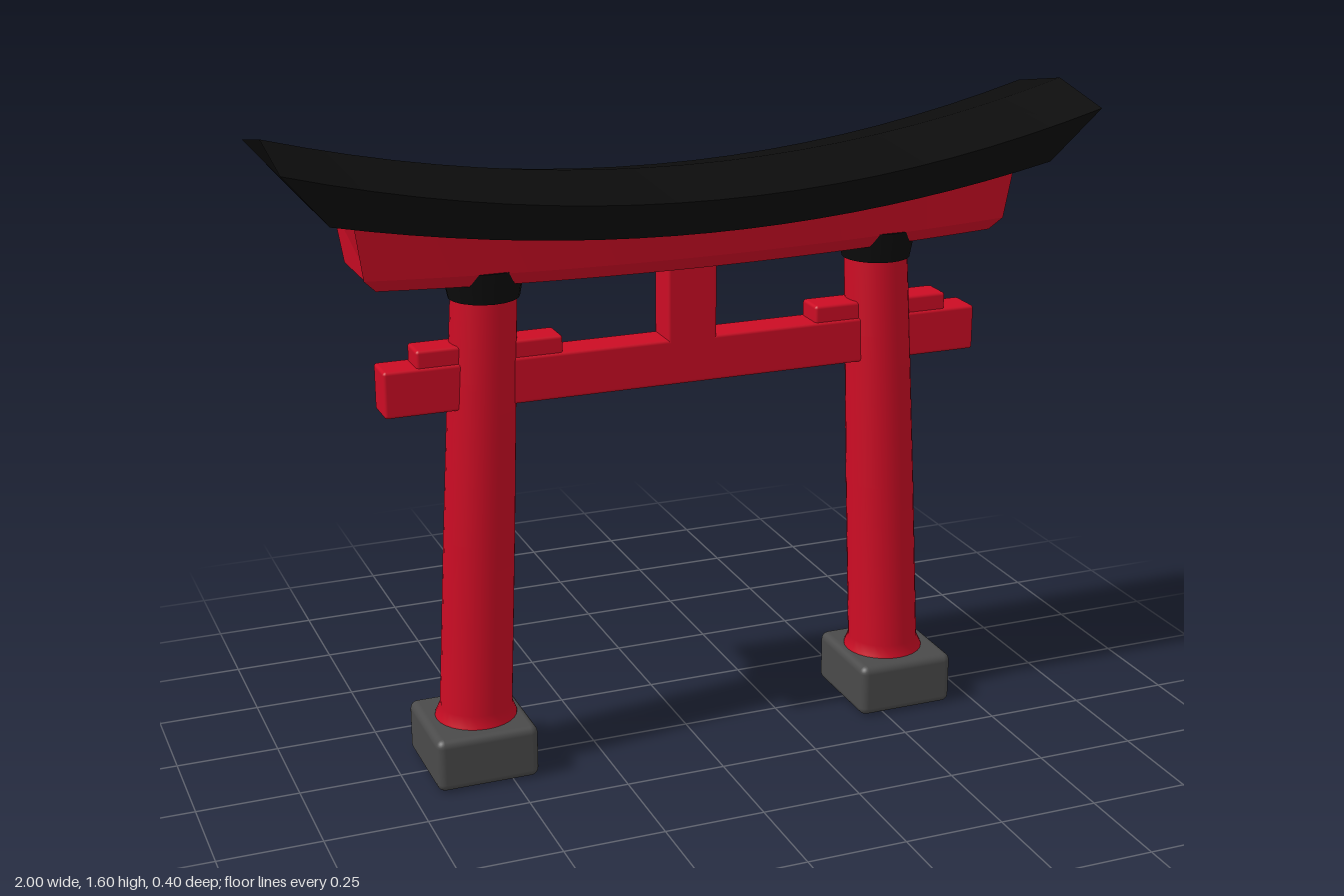
import * as THREE from 'three';
import { toCreasedNormals } from 'three/addons/utils/BufferGeometryUtils.js';
import { RoundedBoxGeometry } from 'three/addons/geometries/RoundedBoxGeometry.js';

// Solid lofted along x: section(u) gives a ring of [x, y, z], counter-clockwise seen from +x
function loft(section, steps) {
  const rings = [];
  for (let i = 0; i <= steps; i++) rings.push(section(-1 + (2 * i) / steps));
  const n = rings[0].length;
  const pos = [];
  const tri = (a, b, c) => pos.push(...a, ...b, ...c);
  for (let i = 0; i < steps; i++) {
    for (let j = 0; j < n; j++) {
      const k = (j + 1) % n;
      const [a, b, c, d] = [rings[i][j], rings[i][k], rings[i + 1][k], rings[i + 1][j]];
      tri(a, b, c);
      tri(a, c, d);
    }
  }
  for (let j = 1; j < n - 1; j++) {
    tri(rings[0][0], rings[0][j + 1], rings[0][j]);
    tri(rings[steps][0], rings[steps][j], rings[steps][j + 1]);
  }
  const geo = new THREE.BufferGeometry();
  geo.setAttribute('position', new THREE.Float32BufferAttribute(pos, 3));
  return toCreasedNormals(geo, 0.15);
}

export function createModel() {
  const group = new THREE.Group();
  group.name = 'shrineGate';
  const mat = (name, color) => {
    const m = new THREE.MeshStandardMaterial({ color });
    m.name = name;
    return m;
  };
  const red = mat('vermilion', 0xcc0c24);
  const black = mat('black', 0x0c0c0c);
  const grey = mat('stoneGrey', 0x4a4a4a);

  const add = (name, geo, material, x = 0, y = 0, z = 0) => {
    const mesh = new THREE.Mesh(geo, material);
    mesh.name = name;
    mesh.position.set(x, y, z);
    group.add(mesh);
    return mesh;
  };
  const block = (name, x0, x1, y0, y1, depth, r = 0.008) =>
    add(name, new RoundedBoxGeometry(x1 - x0, y1 - y0, depth, 2, r), red,
      (x0 + x1) / 2, (y0 + y1) / 2, 0);

  // Upswept roof: shallow ridge, wide eaves, sides and ends leaning in toward the underside
  add('roof', loft((u) => {
    const c = u * u;
    const low = 1.33 + 0.095 * c;
    const eave = 1.417 + 0.138 * c;
    return [
      [u * 0.89, low, 0.16], [u * 0.89, low, -0.16],
      [u, eave, -0.202], [u, 1.457 + 0.138 * c, 0], [u, eave, 0.202],
    ];
  }, 20), black);

  // Curved lintel under the roof, with bevelled lower edges
  add('lintel', loft((u) => {
    const c = u * u;
    const low = 1.225 + 0.022 * c;
    const top = 1.345 + 0.065 * c;
    return [
      [u * 0.775, low, 0.075], [u * 0.775, low, -0.075],
      [u * 0.805, low + 0.03, -0.09], [u * 0.825, top, -0.1],
      [u * 0.825, top, 0.1], [u * 0.805, low + 0.03, 0.09],
    ];
  }, 20), red);

  // Tie beam and the short strut above it
  block('tieBeam', -0.76, 0.76, 0.932, 1.045, 0.09);
  block('centreStrut', -0.063, 0.063, 1.02, 1.26, 0.09);

  // Pillar profile, with a slight spread at the foot
  const profile = [[0.102, 0.12], [0.1, 0.14], [0.089, 0.165], [0.086, 0.6], [0.081, 1.0], [0.077, 1.26]]
    .map(([r, y]) => new THREE.Vector2(r, y));

  for (const side of [-1, 1]) {
    const label = side > 0 ? 'left' : 'right';

    // Stone base
    add(label + 'Base', new RoundedBoxGeometry(0.255, 0.135, 0.265, 3, 0.02), grey, side * 0.562, 0.0675, 0);

    // Pillar leaning inward toward the top
    const pillar = new THREE.LatheGeometry(profile, 28);
    const p = pillar.attributes.position;
    for (let i = 0; i < p.count; i++) {
      p.setX(i, p.getX(i) + side * (0.561 - 0.048 * p.getY(i)));
    }
    pillar.computeBoundingSphere();
    add(label + 'Pillar', pillar, red);

    // Dark collar where the pillar meets the lintel
    add(label + 'Collar', new THREE.CylinderGeometry(0.098, 0.084, 0.075, 20), black, side * 0.503, 1.228, 0);

    // Wedges sitting on the tie beam on both sides of the pillar
    const [a, b] = side > 0 ? [0.325, 0.68] : [-0.68, -0.325];
    block(label + 'Wedge', a, b, 1.03, 1.086, 0.08);
  }
  return group;
}
